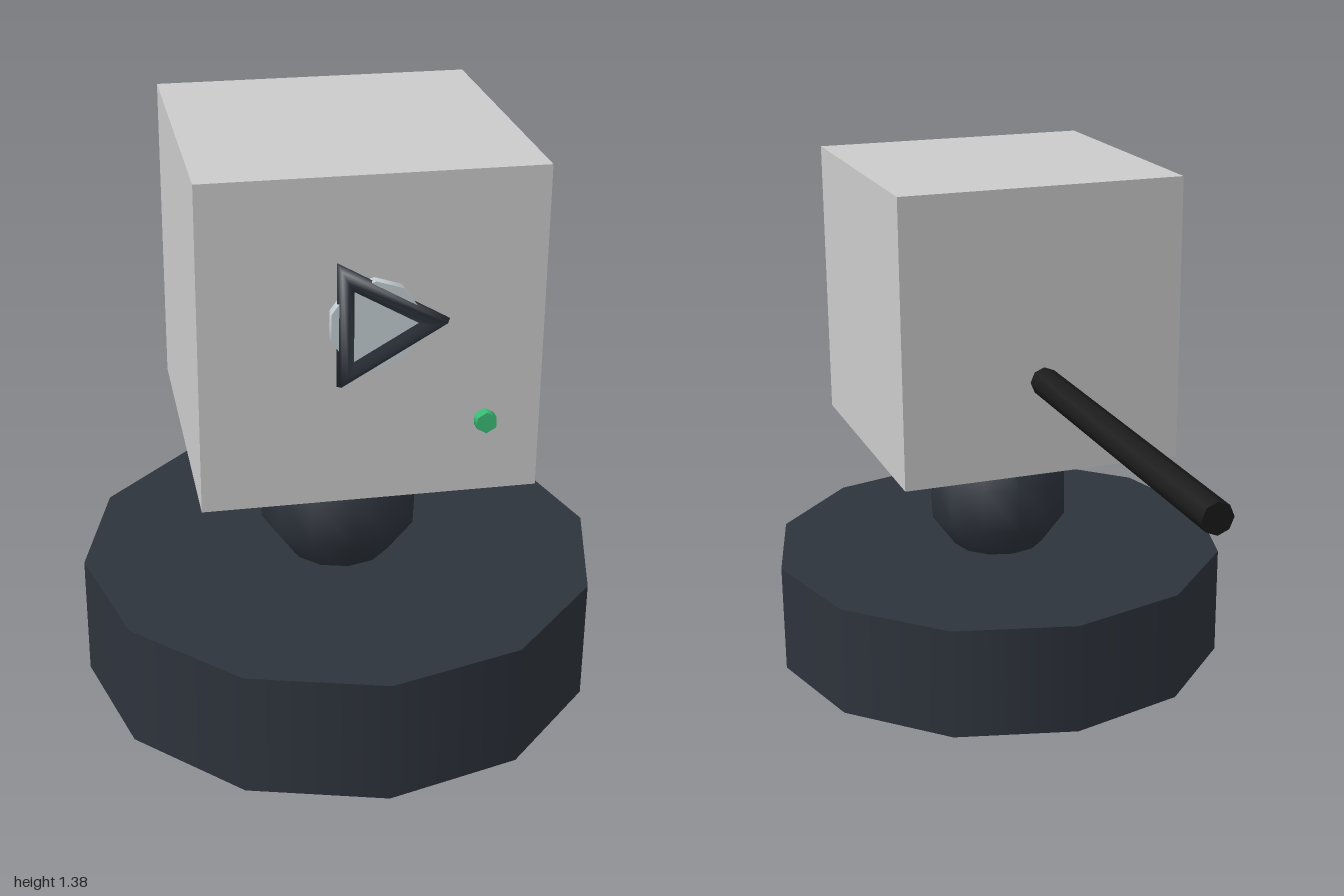
import * as THREE from 'three';

const DARK = 0x2e343d, BLACK = 0x1a1a1a, GREY = 0xcccccc, PALE = 0xc6d0d4, GREEN = 0x3cbf78;

export function createModel() {
  const model = new THREE.Group();

  const add = (name, geometry, color, x, y, z) => {
    const mesh = new THREE.Mesh(geometry, new THREE.MeshStandardMaterial({ color }));
    mesh.name = name;
    mesh.position.set(x, y, z);
    model.add(mesh);
    return mesh;
  };

  // Cylinder lying along z
  const rod = (radius, length, sides) =>
    new THREE.CylinderGeometry(radius, radius, length, sides).rotateX(Math.PI / 2);

  // Stand: twelve-sided base with a ball joint carrying the box
  add('base', new THREE.CylinderGeometry(0.625, 0.625, 0.3, 12), DARK, 0, 0.15, 0.375);
  add('ballJoint', new THREE.SphereGeometry(0.2, 12, 5), DARK, 0, 0.45, 0.375);
  add('body', new THREE.BoxGeometry(0.75, 0.75, 0.75), GREY, 0, 1, 0.375);

  // Front: pale lens in a triangular ring, and a small indicator lamp
  add('lens', rod(0.1, 0.05, 10), PALE, 0, 1.05, 0.75);
  add('lensRing', new THREE.TorusGeometry(0.125, 0.0375, 8, 3), DARK, 0, 1.05, 0.7625);
  add('indicatorLamp', rod(0.025, 0.05, 6), GREEN, 0.25, 0.8, 0.75);

  // Rear rod
  add('rearRod', rod(0.0375, 1, 8), BLACK, 0, 0.875, -0.5);

  return model;
}
